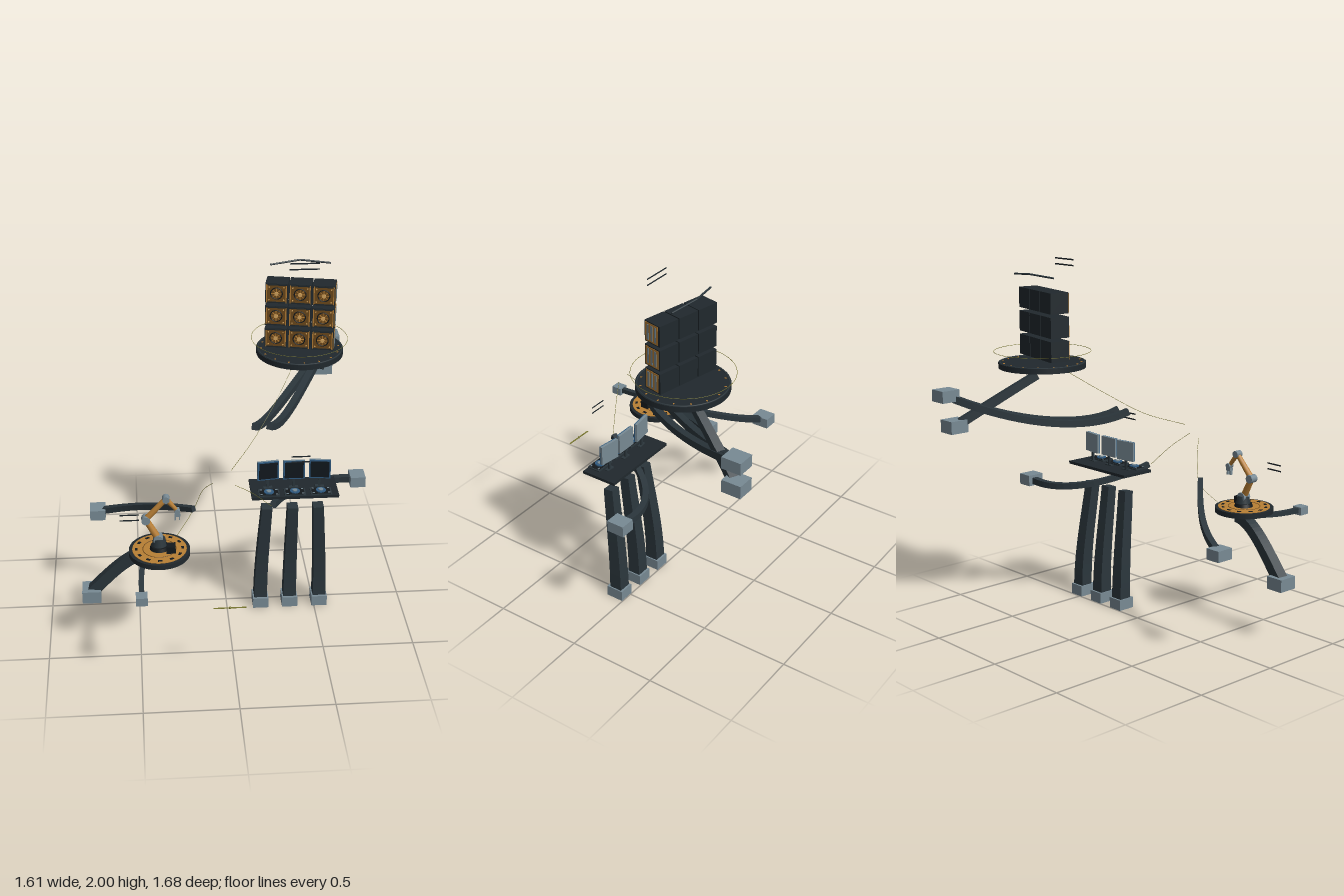
import * as THREE from 'three';

const mat = (color, side = THREE.FrontSide) => new THREE.MeshStandardMaterial({ color, side });
const M = {
  dark: mat(0x20282d), frame: mat(0x2b363c), black: mat(0x14191c), steel: mat(0x788a94),
  orange: mat(0xb87f35), bronze: mat(0x6e4a1c), glow: mat(0xd9a860), screen: mat(0x11181e),
  blue: mat(0x2f5a80), olive: mat(0x77752f), thin: mat(0x20282d, THREE.DoubleSide),
};
const V = (p) => new THREE.Vector3(...p);

function add(parent, name, geo, material, pos = [0, 0, 0], rot = [0, 0, 0]) {
  const m = new THREE.Mesh(geo, material);
  m.name = name;
  m.position.set(...pos);
  m.rotation.set(...rot);
  parent.add(m);
  return m;
}
const box = (w, h, d) => new THREE.BoxGeometry(w, h, d);
const cyl = (r, h, n = 24, r2 = r) => new THREE.CylinderGeometry(r, r2, h, n);
function group(parent, name, pos = [0, 0, 0], ry = 0) {
  const g = new THREE.Group();
  g.name = name;
  g.position.set(...pos);
  g.rotation.y = ry;
  parent.add(g);
  return g;
}

// Square beam swept along a cubic curve (four control points), tapering from w0 to w1
function beam(pts, w0, w1, ref = [0, 1, 0], steps = 18) {
  const curve = new THREE.CubicBezierCurve3(...pts.map(V));
  const pos = [], idx = [];
  for (let i = 0; i <= steps; i++) {
    const t = i / steps, p = curve.getPointAt(t), tan = curve.getTangentAt(t);
    const s = tan.clone().cross(V(ref)).normalize(), u = tan.clone().cross(s);
    const h = (w0 + (w1 - w0) * t) / 2;
    for (const [a, b] of [[-1, -1], [1, -1], [1, 1], [-1, 1]])
      pos.push(...p.clone().addScaledVector(s, a * h).addScaledVector(u, b * h).toArray());
    if (i < steps) for (let k = 0; k < 4; k++) {
      const a = i * 4 + k, b = i * 4 + (k + 1) % 4;
      idx.push(a, b, b + 4, a, b + 4, a + 4);
    }
  }
  const e = steps * 4;
  idx.push(0, 2, 1, 0, 3, 2, e, e + 1, e + 2, e, e + 2, e + 3);
  const g = new THREE.BufferGeometry();
  g.setAttribute('position', new THREE.Float32BufferAttribute(pos, 3));
  g.setIndex(idx);
  const flat = g.toNonIndexed();
  flat.computeVertexNormals();
  return flat;
}

// Cylinder between two points
function rod(parent, name, a, b, r0, r1, material) {
  const A = V(a), B = V(b), d = B.clone().sub(A);
  const m = add(parent, name, cyl(r1, d.length(), 14, r0), material);
  m.position.copy(A).add(B).multiplyScalar(0.5);
  m.quaternion.setFromUnitVectors(new THREE.Vector3(0, 1, 0), d.normalize());
}

function serverStation(root) {
  const g = group(root, 'serverStation', [0.43, 0, -0.31]);
  add(g, 'platform', cyl(0.24, 0.03, 56), M.dark, [0, 1.43, 0]);
  add(g, 'platformLip', new THREE.TorusGeometry(0.232, 0.004, 6, 56), M.frame, [0, 1.445, 0], [Math.PI / 2, 0, 0]);
  add(g, 'haloRing', new THREE.TorusGeometry(0.265, 0.0012, 6, 80), M.olive, [-0.003, 1.505, 0], [Math.PI / 2, 0, 0]);
  for (let i = 0; i < 16; i++) {
    const a = i * Math.PI / 8;
    add(g, 'platformLight', box(0.01, 0.004, 0.006), M.orange, [0.215 * Math.cos(a), 1.446, 0.215 * Math.sin(a)], [0, -a, 0]);
  }
  // 3 x 3 wall of drive modules
  const wall = group(g, 'moduleWall', [-0.002, 0, 0.013], -0.21);
  for (let c = -1; c <= 1; c++) for (let r = 0; r < 3; r++) {
    const m = group(wall, 'module', [c * 0.128, 1.522 + r * 0.13, 0]);
    add(m, 'moduleCase', box(0.122, 0.112, 0.108), M.dark);
    add(m, 'modulePanel', box(0.11, 0.1, 0.006), M.bronze, [0, 0, 0.053]);
    for (const s of [-1, 1]) {
      add(m, 'panelEdge', box(0.006, 0.104, 0.01), M.orange, [s * 0.053, 0, 0.054]);
      add(m, 'panelEdge', box(0.11, 0.006, 0.01), M.dark, [0, s * 0.05, 0.054]);
      for (const t of [-1, 1])
        add(m, 'panelScrew', cyl(0.004, 0.006, 8), M.glow, [s * 0.04, t * 0.036, 0.056], [Math.PI / 2, 0, 0]);
    }
    add(m, 'fanRing', new THREE.TorusGeometry(0.032, 0.003, 6, 24), M.black, [0, 0, 0.056]);
    for (let k = 0; k < 4; k++)
      add(m, 'fanBlade', box(0.056, 0.004, 0.004), M.orange, [0, 0, 0.056], [0, 0, k * Math.PI / 4]);
    add(m, 'fanHub', cyl(0.011, 0.01, 16), M.glow, [0, 0, 0.058], [Math.PI / 2, 0, 0]);
    if (c === 1) { // slotted side plate
      add(m, 'sidePlate', box(0.004, 0.1, 0.09), M.orange, [0.061, 0, 0.003]);
      for (let k = -1; k <= 1; k++)
        add(m, 'sideSlot', box(0.006, 0.082, 0.013), M.steel, [0.062, 0, 0.003 + k * 0.026]);
    }
  }
  // Bent canopy bar above the wall
  const peak = [0, 1.927, -0.078];
  for (const end of [[-0.165, 1.915, -0.047], [0.165, 1.915, -0.05]])
    rod(g, 'canopyBar', end, peak, 0.005, 0.005, M.frame);
}

function deskStation(root) {
  const g = group(root, 'deskStation', [0.362, 0, 0.117]);
  add(g, 'deskTop', box(0.475, 0.016, 0.205), M.dark, [0, 0.793, 0]);
  for (let i = -1; i <= 1; i++) {
    // Monitor with neck, turned towards the middle
    const m = group(g, 'monitor', [i * 0.142, 0, 0], -i * 0.13);
    add(m, 'monitorShell', box(0.118, 0.11, 0.014), M.steel, [0, 0.911, -0.003]);
    add(m, 'monitorBezel', box(0.118, 0.11, 0.006), M.blue, [0, 0.911, 0.006]);
    add(m, 'monitorScreen', box(0.102, 0.096, 0.004), M.screen, [0, 0.911, 0.009]);
    add(m, 'monitorNeck', box(0.014, 0.06, 0.01), M.frame, [0, 0.828, -0.002]);
    add(m, 'monitorFoot', box(0.05, 0.006, 0.022), M.frame, [0, 0.803, 0]);
    // Control pad with a dial
    const p = group(g, 'controlPad', [i * 0.142, 0.801, 0.063]);
    add(p, 'padBase', box(0.115, 0.008, 0.076), M.frame, [0, 0.003, 0]);
    add(p, 'padFace', box(0.1, 0.004, 0.064), M.black, [0, 0.007, 0]);
    add(p, 'padDial', cyl(0.027, 0.01, 24), M.blue, [0, 0.01, 0]);
    add(p, 'padDialCap', cyl(0.013, 0.012, 20), M.steel, [0, 0.013, 0]);
    for (const s of [-1, 1]) for (const t of [-1, 1])
      add(p, 'padKey', box(0.012, 0.004, 0.006), M.steel, [s * 0.042, 0.01, t * 0.025]);
  }
}

function robotStation(root) {
  const g = group(root, 'robotStation', [-0.385, 0, 0.45]);
  add(g, 'platform', cyl(0.162, 0.028, 56), M.dark, [0, 0.632, 0]);
  add(g, 'platformDeck', cyl(0.144, 0.008, 56), M.orange, [0, 0.645, 0]);
  for (let i = 0; i < 12; i++) {
    const a = i * Math.PI / 6;
    add(g, 'deckSlot', box(0.014, 0.004, 0.022), M.black, [0.122 * Math.cos(a), 0.649, 0.122 * Math.sin(a)], [0, -a, 0]);
  }
  add(g, 'deckRing', new THREE.TorusGeometry(0.088, 0.002, 6, 40), M.bronze, [0, 0.649, 0], [Math.PI / 2, 0, 0]);
  add(g, 'armBase', cyl(0.046, 0.02, 28, 0.052), M.black, [0, 0.658, -0.005]);
  add(g, 'armTurret', cyl(0.032, 0.045, 24, 0.04), M.frame, [0, 0.687, -0.008]);
  add(g, 'controller', box(0.048, 0.04, 0.05), M.black, [0.06, 0.668, 0.032]);
  // Jointed arm
  const j = [[-0.005, 0.705, -0.01], [-0.068, 0.82, -0.018], [0.04, 0.94, -0.018], [0.098, 0.865, -0.018]];
  const r = [0.026, 0.023, 0.019, 0.014];
  j.forEach((p, i) => {
    add(g, 'armJoint', cyl(r[i], 0.05 - i * 0.005, 20), M.steel, p, [Math.PI / 2, 0, 0]);
    if (i < 3) rod(g, 'armLink', p, j[i + 1], r[i] * 0.75, r[i + 1] * 0.72, M.orange);
  });
  add(g, 'gripperPalm', box(0.03, 0.018, 0.026), M.steel, [0.098, 0.845, -0.018]);
  for (const s of [-1, 1]) add(g, 'gripperFinger', box(0.007, 0.028, 0.014), M.steel, [0.098 + s * 0.011, 0.826, -0.018]);
}

// Beams that end in a block: control points, widths, block centre, block size
const BEAMS = [
  [[[0.15, 1.155, 0.07], [0.25, 1.05, -0.16], [0.427, 1.127, -0.513], [0.66, 1.275, -0.77]], 0.036, 0.04, [0.67, 1.285, -0.786], [0.1, 0.065, 0.11]],
  [[[0.23, 1.155, 0.07], [0.33, 1.05, -0.1], [0.48, 1.127, -0.493], [0.66, 1.275, -0.77]], 0.036, 0.04],
  [[[0.43, 1.375, -0.35], [0.49, 1.3, -0.475], [0.56, 1.205, -0.625], [0.62, 1.13, -0.74]], 0.042, 0.048, [0.63, 1.12, -0.763], [0.1, 0.07, 0.11]],
  [[[0.23, 0.8, 0.3], [0.3, 0.71, 0.06], [0.45, 0.675, -0.21], [0.74, 0.692, -0.145]], 0.03, 0.036, [0.757, 0.693, -0.143], [0.085, 0.062, 0.1]],
  [[[-0.195, 0.79, 0.295], [-0.37, 0.72, 0.12], [-0.5, 0.64, -0.025], [-0.7, 0.575, -0.087]], 0.028, 0.034, [-0.718, 0.567, -0.093], [0.086, 0.06, 0.1]],
  [[[-0.39, 0.6, 0.4], [-0.52, 0.605, 0.375], [-0.63, 0.47, 0.36], [-0.75, 0.335, 0.347]], 0.055, 0.06, [-0.757, 0.32, 0.348], [0.1, 0.07, 0.112]],
  [[[-0.45, 0.612, 0.42], [-0.487, 0.603, 0.52], [-0.487, 0.585, 0.62], [-0.487, 0.58, 0.8]], 0.024, 0.028, [-0.487, 0.578, 0.81], [0.06, 0.046, 0.062]],
];

export function createModel() {
  const root = new THREE.Group();
  root.name = 'workshopNetwork';
  serverStation(root);
  deskStation(root);
  robotStation(root);

  for (const [pts, w0, w1, end, size] of BEAMS) {
    add(root, 'supportBeam', beam(pts, w0, w1), M.frame);
    if (end) add(root, 'beamBlock', box(...size), M.steel, end);
  }
  // Three bowed posts below the desk
  for (const [top, foot] of [[0.217, 0.193], [0.36, 0.36], [0.502, 0.53]]) {
    const upper = top * 0.6 + foot * 0.4;
    const pts = [[top, 0.68, 0.11], [upper, 0.48, 0.088], [foot, 0.27, 0.052], [foot, 0.05, 0.051]];
    add(root, 'deskPost', beam(pts, 0.058, 0.074, [0, 0, 1]), M.frame);
    add(root, 'postFoot', box(0.088, 0.062, 0.1), M.steel, [foot, 0.031, 0.053]);
  }
  // Thin wires linking the stations
  for (const pts of [
    [[0.4, 1.41, -0.22], [0.26, 1.25, 0], [0.13, 1.13, 0.18], [0, 1.06, 0.37]],
    [[0.015, 1, 0.42], [0.11, 0.92, 0.37], [0.22, 0.8, 0.31]],
    [[-0.095, 0.995, 0.38], [-0.145, 0.92, 0.32], [-0.2, 0.77, 0.285], [-0.29, 0.66, 0.35]],
  ]) add(root, 'linkWire', new THREE.TubeGeometry(new THREE.CatmullRomCurve3(pts.map(V)), 32, 0.0012, 5), M.olive);

  // Small floating marker in front
  add(root, 'markerStrip', box(0.17, 0.001, 0.01), M.olive, [-0.035, 0.475, 0.772]);
  add(root, 'markerBead', new THREE.SphereGeometry(0.007, 12, 8), M.olive, [-0.035, 0.475, 0.772]);
  // Blank caption strips above each station
  for (const [x, y, z, w] of [[0.425, 1.978, -0.15, 0.16], [0.375, 1.065, 0.285, 0.1], [-0.538, 0.885, 0.52, 0.1]])
    for (const s of [-1, 1])
      add(root, 'captionStrip', new THREE.PlaneGeometry(w, 0.008), M.thin, [x, y + s * 0.016, z]);
  return root;
}
